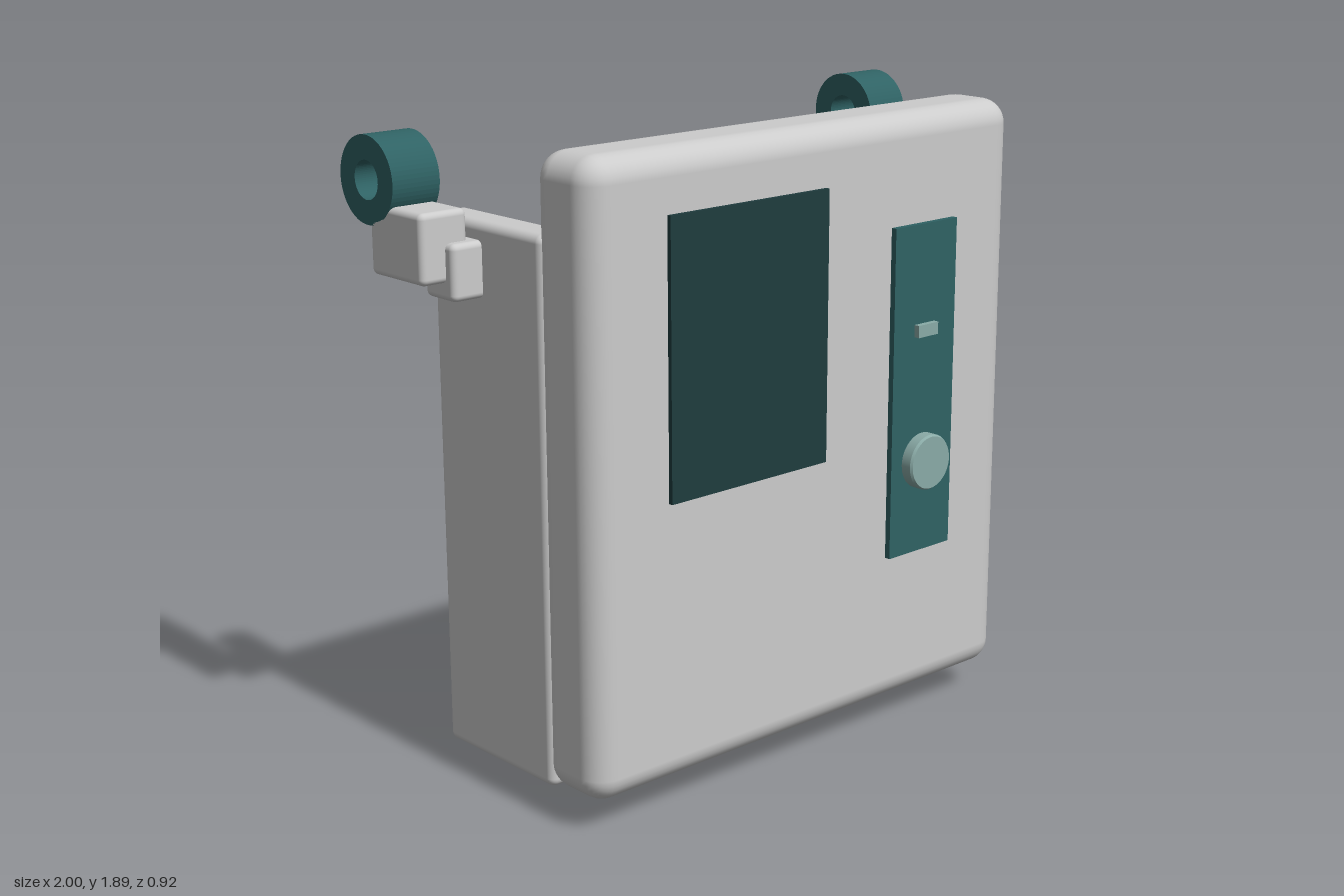
import * as THREE from 'three';
import { RoundedBoxGeometry } from 'three/addons/geometries/RoundedBoxGeometry.js';

const paint = (color) => new THREE.MeshStandardMaterial({ color });

export function createModel() {
  const model = new THREE.Group();
  const grey = paint(0xcccccc);
  const teal = paint(0x2f6264);
  const darkTeal = paint(0x1f3c3e);
  const paleTeal = paint(0x8aaba7);

  const add = (name, geometry, material) => {
    const mesh = new THREE.Mesh(geometry, material);
    mesh.name = name;
    model.add(mesh);
    return mesh;
  };
  // Box given by its lower and upper limits; radius 0 leaves the edges sharp
  const box = (name, [x0, x1], [y0, y1], [z0, z1], radius, material = grey) => {
    const size = [x1 - x0, y1 - y0, z1 - z0];
    const geometry = radius
      ? new RoundedBoxGeometry(...size, 4, radius)
      : new THREE.BoxGeometry(...size);
    add(name, geometry, material)
      .position.set((x0 + x1) / 2, (y0 + y1) / 2, (z0 + z1) / 2);
  };

  // Open-backed housing
  box('frontPanel', [-0.825, 0.825], [0.09, 1.89], [0.155, 0.4], 0.075);
  box('floorPlate', [-0.72, 0.72], [0.095, 0.175], [-0.285, 0.2], 0.02);
  box('foot', [-0.255, 0.255], [0, 0.12], [0, 0.11], 0.025, teal);

  // Screen and control strip
  box('screen', [-0.56, 0.03], [0.92, 1.715], [0.39, 0.413], 0, darkTeal);
  box('controlStrip', [0.3, 0.56], [0.56, 1.565], [0.39, 0.418], 0, teal);
  box('indicator', [0.387, 0.47], [1.23, 1.267], [0.41, 0.436], 0, paleTeal);

  // Round dial with a slightly bevelled rim
  const dialProfile = [[0, 0], [0.085, 0], [0.085, 0], [0.085, 0.035], [0.085, 0.035],
    [0.08, 0.042], [0.08, 0.042], [0, 0.042]].map(([r, y]) => new THREE.Vector2(r, y));
  const dial = add('dial', new THREE.LatheGeometry(dialProfile, 48), paleTeal);
  dial.rotation.x = Math.PI / 2;
  dial.position.set(0.43, 0.845, 0.416);

  // Hollow roller, extruded along its axis
  const ring = new THREE.Shape().absarc(0, 0, 0.124, 0, Math.PI * 2);
  ring.holes.push(new THREE.Path().absarc(0, 0, 0.055, 0, Math.PI * 2, true));
  const rollerGeometry = new THREE.ExtrudeGeometry(ring, {
    depth: 0.155, bevelEnabled: false, curveSegments: 32,
  });
  rollerGeometry.translate(0, 0, -0.0775).rotateY(Math.PI / 2);

  // Side walls, each carrying a bracket and roller
  for (const [side, s] of [['left', 1], ['right', -1]]) {
    const span = (a, b) => (s > 0 ? [a, b] : [-b, -a]);
    box(side + 'Wall', span(0.708, 0.825), [0.09, 1.665], [-0.285, 0.2], 0.025);
    box(side + 'BracketBase', span(0.8, 0.922), [1.455, 1.615], [-0.19, -0.057], 0.018);
    box(side + 'Bracket', span(0.845, 1), [1.505, 1.703], [-0.33, -0.09], 0.018);
    add(side + 'Roller', rollerGeometry, teal).position.set(s * 0.9225, 1.765, -0.335);
  }
  return model;
}
